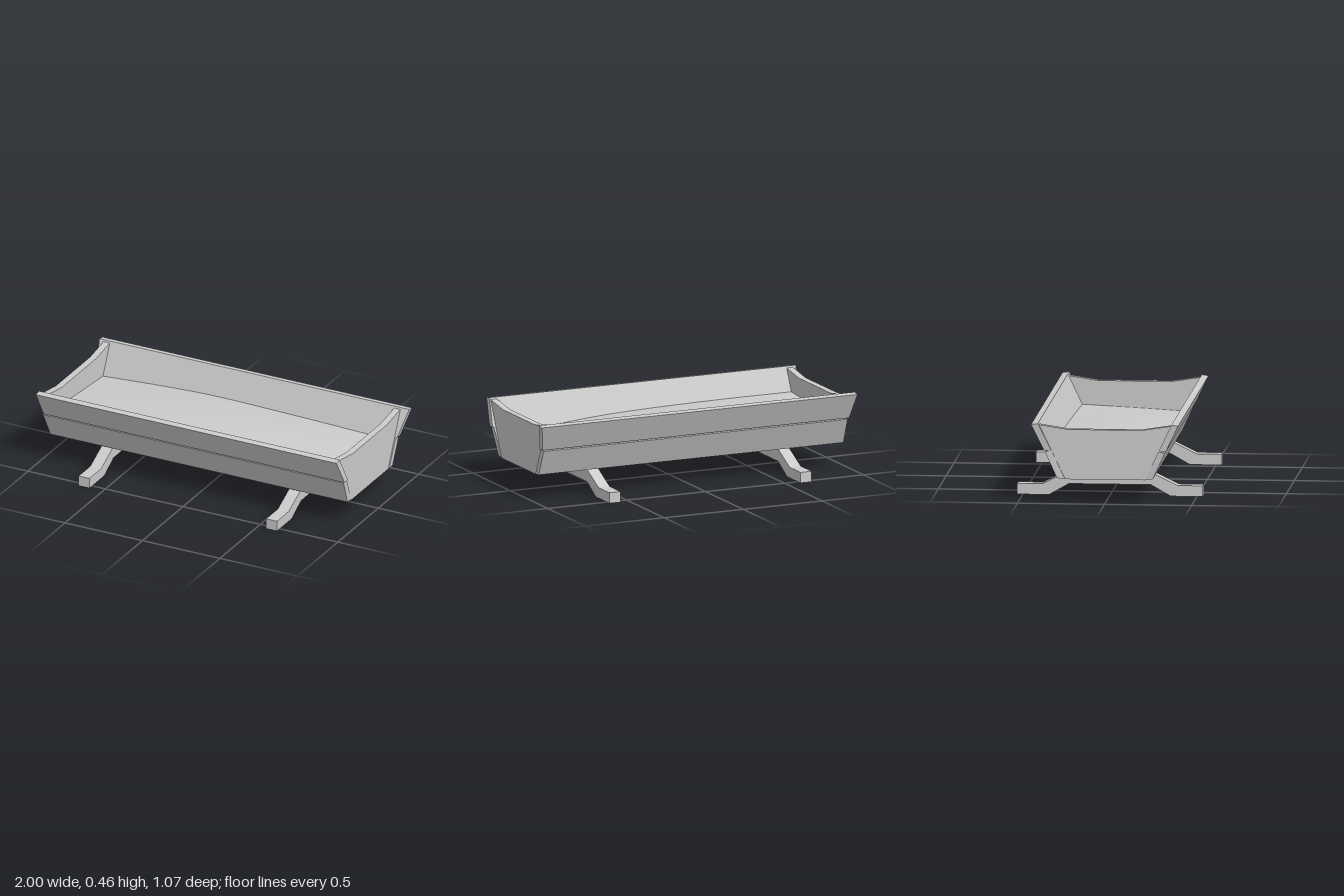
import * as THREE from 'three';

const material = new THREE.MeshStandardMaterial({ color: 0xcccccc, flatShading: true });
const fillMaterial = new THREE.MeshStandardMaterial({ color: 0xcccccc, side: THREE.DoubleSide });

// Extrude a [z, y] outline along x from x0 to x1
function prism(name, outline, x0, x1) {
  const shape = new THREE.Shape(outline.map(([z, y]) => new THREE.Vector2(-z, y)));
  const geo = new THREE.ExtrudeGeometry(shape, { depth: x1 - x0, bevelEnabled: false });
  geo.rotateY(Math.PI / 2).translate(x0, 0, 0);
  const mesh = new THREE.Mesh(geo, material);
  mesh.name = name;
  return mesh;
}

// Plank with slanted ends: each end is given as [x at bottom, x at top]
function plank(name, outline, left, right) {
  const mesh = prism(name, outline, 0, 1);
  const p = mesh.geometry.attributes.position;
  const ys = outline.map((o) => o[1]);
  const low = Math.min(...ys), high = Math.max(...ys);
  for (let i = 0; i < p.count; i++) {
    const t = (p.getY(i) - low) / (high - low);
    const end = p.getX(i) < 0.5 ? left : right;
    p.setX(i, THREE.MathUtils.lerp(end[0], end[1], t));
  }
  mesh.geometry.computeVertexNormals();
  return mesh;
}

const mirrorZ = (outline) => outline.map(([z, y]) => [-z, y]);
const symmetric = (half) => [...half, ...mirrorZ(half).reverse()];

// Uneven filling that meets the sloping side walls
function makeFill() {
  const geo = new THREE.PlaneGeometry(1, 1, 32, 16);
  const p = geo.attributes.position;
  const line = (points) => new THREE.SplineCurve(points.map(([x, y]) => new THREE.Vector2(x, y)));
  const front = line([[-0.94, 0.325], [-0.3, 0.322], [0.3, 0.305], [0.92, 0.255]]);
  const back = line([[-0.94, 0.277], [-0.3, 0.305], [0.3, 0.3], [0.92, 0.287]]);
  const wallZ = (y) => 0.232 + (y - 0.14) * 0.476;
  for (let i = 0; i < p.count; i++) {
    const u = p.getX(i) + 0.5, v = p.getY(i) + 0.5;
    const f = front.getPoint(u), b = back.getPoint(u);
    const x = THREE.MathUtils.lerp(f.x, b.x, v);
    const hump = 0.02 * Math.sin(Math.PI * u) * Math.sin(Math.PI * v);
    const y = THREE.MathUtils.lerp(f.y, b.y, v) + hump;
    p.setXYZ(i, x, y, THREE.MathUtils.lerp(wallZ(f.y), -wallZ(b.y), v));
  }
  geo.computeVertexNormals();
  const mesh = new THREE.Mesh(geo, fillMaterial);
  mesh.name = 'filling';
  return mesh;
}

export function createModel() {
  const model = new THREE.Group();
  model.name = 'trough';

  // Bent support feet
  const foot = symmetric([[0.235, 0.065], [0.35, 0], [0.533, 0], [0.533, 0.062], [0.39, 0.062], [0.23, 0.14]]);
  for (const x of [-0.62, 0.59]) model.add(prism('foot', foot, x - 0.035, x + 0.035));

  // End panels with dipped tops
  const end = symmetric([[0.23, 0.138], [0.378, 0.452], [0.21, 0.426]]);
  model.add(prism('rightEndPanel', end, -0.97, -0.93));
  model.add(prism('leftEndPanel', end, 0.905, 0.945));

  // Floor
  const floor = [[0.23, 0.138], [0.238, 0.155], [-0.238, 0.155], [-0.23, 0.138]];
  model.add(prism('floor', floor, -0.94, 0.915));

  // Two overlapping planks on each long side
  const lower = [[0.23, 0.142], [0.275, 0.145], [0.345, 0.297], [0.308, 0.305]];
  const upper = [[0.308, 0.305], [0.35, 0.305], [0.422, 0.456], [0.383, 0.462]];
  model.add(plank('frontLowerPlank', lower, [-0.972, -0.985], [0.945, 0.957]));
  model.add(plank('frontUpperPlank', upper, [-0.978, -0.99], [0.965, 0.95]));
  model.add(plank('backLowerPlank', mirrorZ(lower), [-0.98, -0.972], [0.95, 0.953]));
  model.add(plank('backUpperPlank', mirrorZ(upper), [-0.98, -1], [0.96, 1]));

  model.add(makeFill());
  return model;
}
